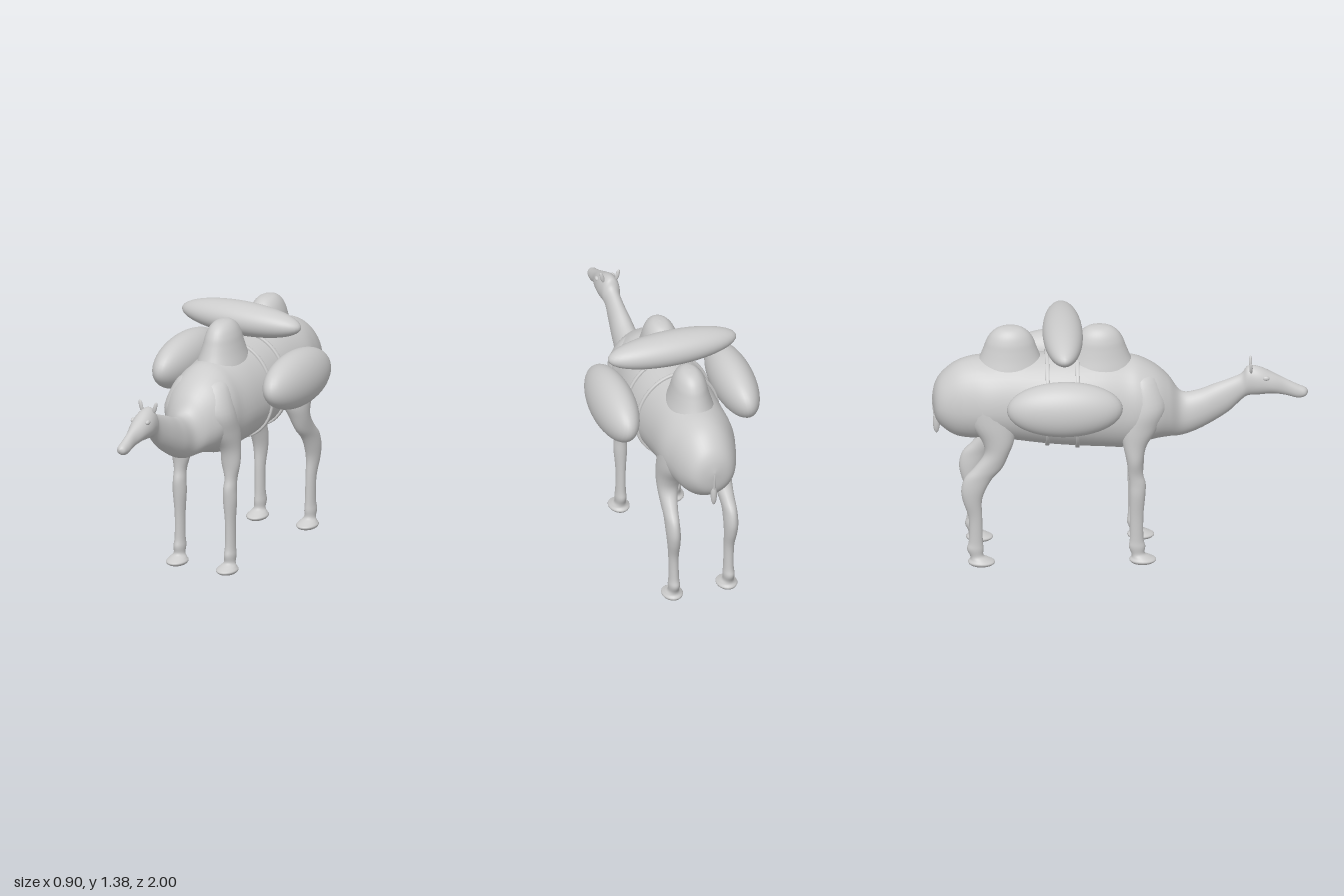
import * as THREE from 'three';
import { mergeVertices } from 'three/addons/utils/BufferGeometryUtils.js';

const material = new THREE.MeshStandardMaterial({ color: 0xcccccc, side: THREE.DoubleSide });

// Smooth interpolation of table rows at parameter t (0..1)
function sampleRow(rows, t) {
  const n = rows.length - 1, f = Math.min(t * n, n - 1e-9), i = Math.floor(f), u = f - i;
  const row = (k) => rows[Math.max(0, Math.min(n, k))];
  return rows[0].map((_, c) => {
    const [a, b, d, e] = [row(i - 1)[c], row(i)[c], row(i + 1)[c], row(i + 2)[c]];
    return b + 0.5 * u * (d - a + u * (2 * a - 5 * b + 4 * d - e + u * (3 * (b - d) + e - a)));
  });
}

// Skin through closed rings; ringPoint(row, angle) gives [x, y, z]
function loft(rows, steps, sides, ringPoint) {
  const pos = [], index = [];
  for (let i = 0; i <= steps; i++) {
    const row = sampleRow(rows, i / steps);
    for (let j = 0; j < sides; j++) pos.push(...ringPoint(row, (j / sides) * Math.PI * 2));
  }
  for (let i = 0; i < steps; i++) {
    for (let j = 0; j < sides; j++) {
      const k = (j + 1) % sides;
      const a = i * sides + j, b = i * sides + k, c = b + sides, d = a + sides;
      index.push(a, b, c, a, c, d);
    }
  }
  let g = new THREE.BufferGeometry();
  g.setAttribute('position', new THREE.Float32BufferAttribute(pos, 3));
  g.setIndex(index);
  g = mergeVertices(g, 1e-5);
  g.computeVertexNormals();
  return g;
}

// Rump to nose: z, top, bottom, half width
const bodyRows = [
  [-1.0, 0.93, 0.92, 0], [-0.985, 1.0, 0.82, 0.08], [-0.95, 1.06, 0.765, 0.125],
  [-0.88, 1.12, 0.715, 0.16], [-0.8, 1.15, 0.7, 0.185], [-0.7, 1.16, 0.705, 0.208],
  [-0.55, 1.17, 0.685, 0.212], [-0.4, 1.165, 0.665, 0.222], [-0.25, 1.165, 0.652, 0.23],
  [-0.1, 1.165, 0.64, 0.22], [0.02, 1.15, 0.632, 0.205], [0.1, 1.135, 0.655, 0.2],
  [0.19, 1.085, 0.68, 0.18], [0.26, 1.02, 0.685, 0.135], [0.325, 0.935, 0.685, 0.082],
  [0.41, 0.94, 0.715, 0.07], [0.5, 0.975, 0.765, 0.06], [0.58, 1.005, 0.82, 0.05],
  [0.645, 1.035, 0.885, 0.044], [0.68, 1.078, 0.91, 0.051], [0.74, 1.073, 0.915, 0.058],
  [0.81, 1.038, 0.92, 0.05], [0.88, 1.0, 0.908, 0.032], [0.945, 0.966, 0.89, 0.03],
  [0.985, 0.947, 0.9, 0.024], [1.0, 0.93, 0.922, 0],
];

// Egg-shaped cross-section, widest a little below the middle
function bodyPoint([z, top, bottom, w], a) {
  const mid = bottom + (top - bottom) * 0.46, s = Math.sin(a);
  return [Math.cos(a) * w, mid + s * (s > 0 ? top - mid : mid - bottom), z];
}

// Leg rows from the ground up: y, centre x, half width x, centre z, half depth z
const footRows = (z) => [
  [0, 0.153, 0, z, 0], [0.004, 0.153, 0.04, z, 0.052], [0.022, 0.153, 0.057, z, 0.072],
  [0.04, 0.153, 0.045, z - 0.01, 0.05], [0.06, 0.154, 0.03, z - 0.025, 0.036],
];
const frontLegRows = [
  ...footRows(0.115),
  [0.1, 0.154, 0.031, 0.085, 0.044], [0.15, 0.154, 0.027, 0.083, 0.036],
  [0.28, 0.154, 0.027, 0.083, 0.036], [0.4, 0.154, 0.036, 0.087, 0.042],
  [0.47, 0.154, 0.034, 0.088, 0.043], [0.53, 0.155, 0.034, 0.078, 0.039],
  [0.61, 0.152, 0.052, 0.074, 0.046], [0.7, 0.148, 0.055, 0.075, 0.065],
  [0.8, 0.125, 0.08, 0.1, 0.105], [0.92, 0.1, 0.1, 0.135, 0.11], [1.06, 0.05, 0.09, 0.11, 0.08],
  [1.09, 0.04, 0, 0.1, 0],
];
const hindLegRows = [
  ...footRows(-0.742),
  [0.1, 0.154, 0.031, -0.775, 0.044], [0.15, 0.154, 0.027, -0.772, 0.037],
  [0.28, 0.156, 0.027, -0.774, 0.036], [0.38, 0.16, 0.034, -0.79, 0.05],
  [0.45, 0.162, 0.037, -0.785, 0.065], [0.52, 0.162, 0.037, -0.757, 0.075],
  [0.58, 0.158, 0.043, -0.705, 0.075], [0.66, 0.15, 0.056, -0.66, 0.066],
  [0.74, 0.135, 0.075, -0.655, 0.09], [0.85, 0.11, 0.1, -0.69, 0.13],
  [0.98, 0.09, 0.105, -0.71, 0.12], [1.08, 0.06, 0.08, -0.71, 0.08], [1.11, 0.05, 0, -0.71, 0],
];

export function createModel() {
  const model = new THREE.Group();
  const add = (name, geometry, x = 0, y = 0, z = 0) => {
    const mesh = new THREE.Mesh(geometry, material);
    mesh.name = name;
    mesh.position.set(x, y, z);
    model.add(mesh);
    return mesh;
  };
  const ellipsoid = (name, x, y, z, rx, ry, rz) => {
    const mesh = add(name, new THREE.SphereGeometry(1, 40, 28), x, y, z);
    mesh.scale.set(rx, ry, rz);
    return mesh;
  };

  add('bodyNeckAndHead', loft(bodyRows, 150, 40, bodyPoint));

  // Humps flare out into the back
  const humpProfile = [[1.55, 1.0], [1.28, 1.1], [1.08, 1.165], [0.95, 1.215], [0.84, 1.26],
    [0.66, 1.3], [0.38, 1.327], [0, 1.335]].map(([r, y]) => new THREE.Vector2(r, y));
  const humpCurve = new THREE.SplineCurve(humpProfile).getPoints(32);
  humpCurve[32].x = 0;
  for (const [name, z] of [['frontHump', -0.11], ['rearHump', -0.585]]) {
    add(name, new THREE.LatheGeometry(humpCurve, 36), 0, 0, z).scale.set(0.1, 1, 0.148);
  }

  // Legs, ears, eyes and side packs, mirrored left and right
  for (const side of [1, -1]) {
    const label = side > 0 ? 'left' : 'right';
    const legPoint = ([y, cx, rx, cz, rz], a) =>
      [side * cx + Math.cos(a) * rx, y, cz - Math.sin(a) * rz];
    add(label + 'FrontLeg', loft(frontLegRows, 80, 24, legPoint));
    add(label + 'HindLeg', loft(hindLegRows, 80, 24, legPoint));

    const ear = ellipsoid(label + 'Ear', side * 0.043, 1.083, 0.695, 0.011, 0.034, 0.009);
    ear.rotation.z = -side * 0.25;
    ellipsoid(label + 'Eye', side * 0.045, 1.025, 0.775, 0.011, 0.013, 0.018);

    const pack = ellipsoid(label + 'Pack', side * 0.338, 1.003, -0.305, 0.113, 0.15, 0.308);
    pack.rotation.z = side * 0.15;
  }
  ellipsoid('topPack', 0, 1.285, -0.305, 0.36, 0.09, 0.107);

  // Thin girth straps following the body section
  const strapAt = (z) => {
    const t = (z + 0.55) / 0.15;
    const i = 6 + Math.floor(t);
    return bodyRows[i].map((v, c) => THREE.MathUtils.lerp(v, bodyRows[i + 1][c], t - Math.floor(t)));
  };
  for (const [name, z] of [['rearStrap', -0.39], ['frontStrap', -0.23]]) {
    const [, top, bottom, w] = strapAt(z);
    const band = [[-0.01, 0], [-0.009, 0.012], [0.009, 0.012], [0.01, 0]]
      .map(([dz, d]) => [z + dz, top + d, bottom - d, w + d]);
    add(name, loft(band, 12, 64, bodyPoint));
  }

  // Tail with a tuft at the end
  const tailPath = new THREE.CatmullRomCurve3([
    new THREE.Vector3(0, 0.97, -0.975), new THREE.Vector3(0, 0.92, -0.992),
    new THREE.Vector3(0, 0.84, -0.987), new THREE.Vector3(0, 0.78, -0.978),
  ]);
  add('tail', new THREE.TubeGeometry(tailPath, 20, 0.008, 10));
  ellipsoid('tailTuft', 0, 0.782, -0.976, 0.017, 0.068, 0.019);

  return model;
}
